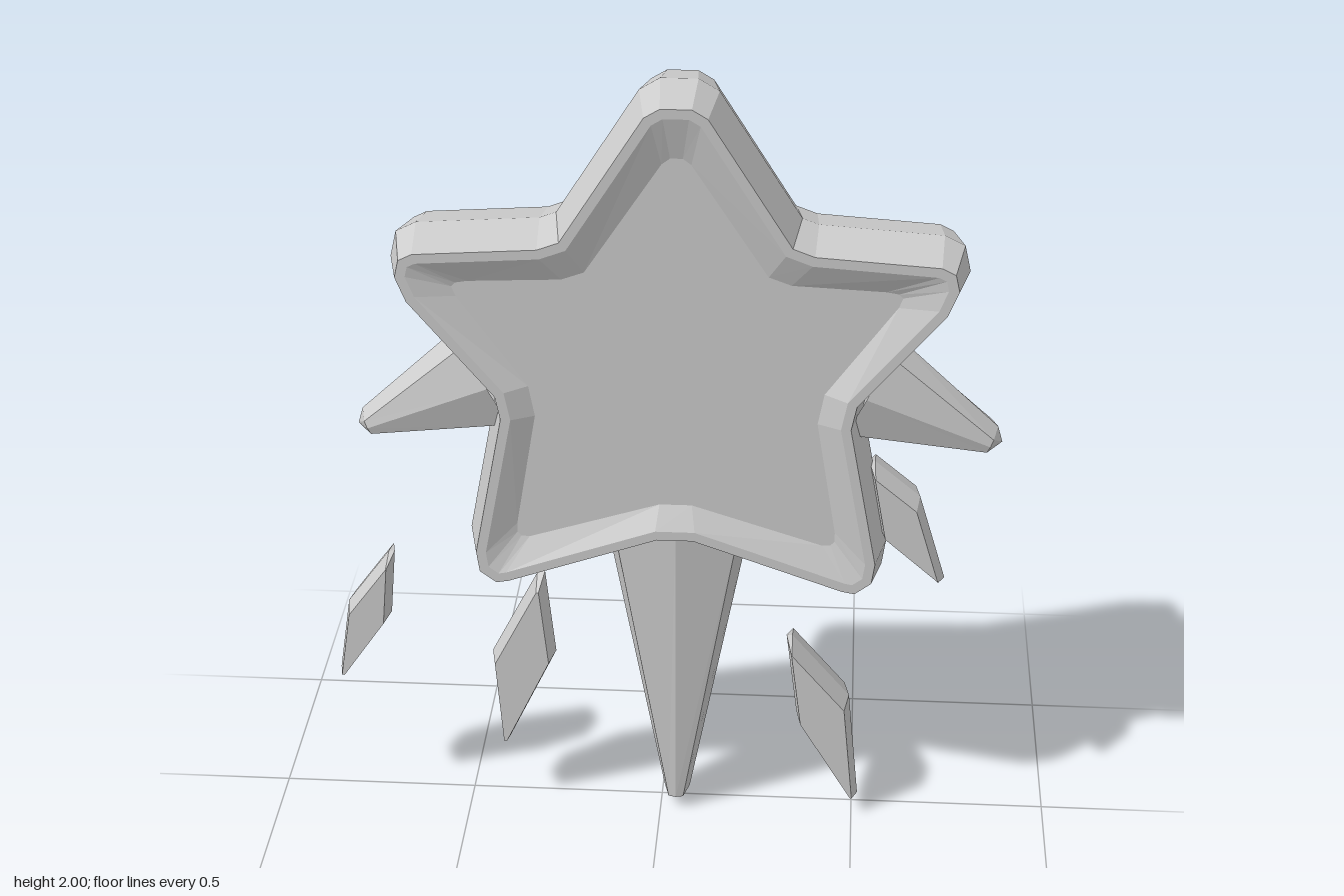
import * as THREE from 'three';

const CX = 0.04; // mirror line of the star
const material = new THREE.MeshStandardMaterial({ color: 0xcccccc, flatShading: true, side: THREE.DoubleSide });

// Skin a list of rings (arrays of [x, y, z]); optionally cap both ends in the xy plane
function loft(name, rings, capped) {
  const pos = [];
  const tri = (a, b, c) => pos.push(...a, ...b, ...c);
  const n = rings[0].length;
  for (let k = 0; k < rings.length - 1; k++) {
    for (let i = 0; i < n; i++) {
      const j = (i + 1) % n;
      const [a, b, c, d] = [rings[k][i], rings[k][j], rings[k + 1][j], rings[k + 1][i]];
      tri(a, b, c);
      tri(a, c, d);
    }
  }
  if (capped) {
    const first = rings[0], last = rings[rings.length - 1];
    const faces = THREE.ShapeUtils.triangulateShape(last.map(p => new THREE.Vector2(p[0], p[1])), []);
    for (const [a, b, c] of faces) {
      tri(last[a], last[b], last[c]);
      tri(first[a], first[c], first[b]);
    }
  }
  const geometry = new THREE.BufferGeometry();
  geometry.setAttribute('position', new THREE.Float32BufferAttribute(pos, 3));
  geometry.computeVertexNormals();
  const mesh = new THREE.Mesh(geometry, material);
  mesh.name = name;
  return mesh;
}

// Move a counter-clockwise outline inward by d with mitred corners
function inset(outline, d) {
  const n = outline.length;
  const normal = (a, b) => {
    const l = Math.hypot(b[0] - a[0], b[1] - a[1]);
    return [-(b[1] - a[1]) / l, (b[0] - a[0]) / l];
  };
  return outline.map((p, i) => {
    const u = normal(outline[(i + n - 1) % n], p);
    const v = normal(p, outline[(i + 1) % n]);
    const s = d / (1 + u[0] * v[0] + u[1] * v[1]);
    return [p[0] + (u[0] + v[0]) * s, p[1] + (u[1] + v[1]) * s];
  });
}

// Rounded star with a ridged side, raised rim and shallow recessed faces
function makeStar() {
  const mirrored = half => [
    ...half.map(([x, y]) => [CX + x, y]).reverse(),
    ...half.map(([x, y]) => [CX - x, y]),
  ];
  const outline = mirrored([
    [0.045, 2.0], [0.095, 1.97], [0.295, 1.655], [0.335, 1.64],
    [0.635, 1.62], [0.685, 1.595], [0.70, 1.53], [0.67, 1.455],
    [0.465, 1.21], [0.455, 1.16], [0.525, 0.79], [0.515, 0.72],
    [0.455, 0.675], [0.41, 0.683], [0.04, 0.812],
  ]);
  const floor = mirrored([
    [0.015, 1.84], [0.035, 1.825], [0.22, 1.545], [0.275, 1.525],
    [0.50, 1.515], [0.53, 1.51], [0.54, 1.50], [0.53, 1.475],
    [0.36, 1.24], [0.345, 1.16], [0.395, 0.86], [0.395, 0.835],
    [0.385, 0.825], [0.365, 0.823], [0.04, 0.925],
  ]);
  const rim = inset(outline, 0.028);
  const lip = inset(outline, 0.052);
  const layers = [[floor, -0.105], [lip, -0.135], [rim, -0.135], [outline, 0],
    [rim, 0.135], [lip, 0.135], [floor, 0.105]];
  return loft('star', layers.map(([ring, z]) => ring.map(([x, y]) => [x, y, z])), true);
}

// Tapered ray with a central ridge front and back; blunt tip at the origin, growing along +y
function makeSpike(name, length, halfWidth, ridge, edge, tipDepth) {
  const section = (w, bevel, yMid, yFlat, r, e) => [
    [0, yFlat, r], [w - bevel, yFlat, e], [w, yMid, 0], [w - bevel, yFlat, -e],
    [0, yFlat, -r], [bevel - w, yFlat, -e], [-w, yMid, 0], [bevel - w, yFlat, e],
  ];
  return loft(name, [
    section(0, 0, 0, 0, 0, 0),
    section(0.033, 0.014, 0.028, 0.035, tipDepth, tipDepth - 0.005),
    section(halfWidth, 0.03, length, length, ridge, edge),
  ], false);
}

// Flat splinter with bevelled edges
function makeShard(outline) {
  const n = outline.length;
  const cx = outline.reduce((s, p) => s + p[0], 0) / n;
  const cy = outline.reduce((s, p) => s + p[1], 0) / n;
  const face = inset(outline.map(([x, y]) => [cx + (x - cx) * 0.94, cy + (y - cy) * 0.94]), 0.008);
  const layers = [[face, -0.07], [outline, 0], [face, 0.07]];
  return loft('shard', layers.map(([ring, z]) => ring.map(([x, y]) => [x, y, z])), true);
}

export function createModel() {
  const group = new THREE.Group();
  group.name = 'starBurst';
  group.add(makeStar());

  // Long ray below the star
  const tail = makeSpike('lowerSpike', 0.85, 0.188, 0.112, 0.08, 0.07);
  tail.position.set(CX, 0, 0);
  group.add(tail);

  // Short rays at both sides
  for (const side of [-1, 1]) {
    const spike = makeSpike(side > 0 ? 'leftSpike' : 'rightSpike', 0.37, 0.15, 0.1, 0.07, 0.062);
    spike.position.set(CX + side * 0.8, 1.075, 0);
    spike.rotation.z = side * THREE.MathUtils.degToRad(66);
    group.add(spike);
  }

  // Loose shards, outlines listed clockwise from the top
  const shards = [
    [[-0.70, 0.71], [-0.685, 0.71], [-0.70, 0.53], [-0.82, 0.355], [-0.84, 0.36], [-0.81, 0.56]],
    [[-0.32, 0.66], [-0.30, 0.665], [-0.275, 0.43], [-0.40, 0.165], [-0.42, 0.17], [-0.44, 0.425]],
    [[0.32, 0.50], [0.335, 0.50], [0.485, 0.325], [0.515, 0.025], [0.495, 0.03], [0.35, 0.27]],
    [[0.515, 1.01], [0.53, 1.01], [0.645, 0.915], [0.715, 0.685], [0.70, 0.69], [0.55, 0.82]],
  ];
  for (const outline of shards) group.add(makeShard(outline.reverse()));

  return group;
}
